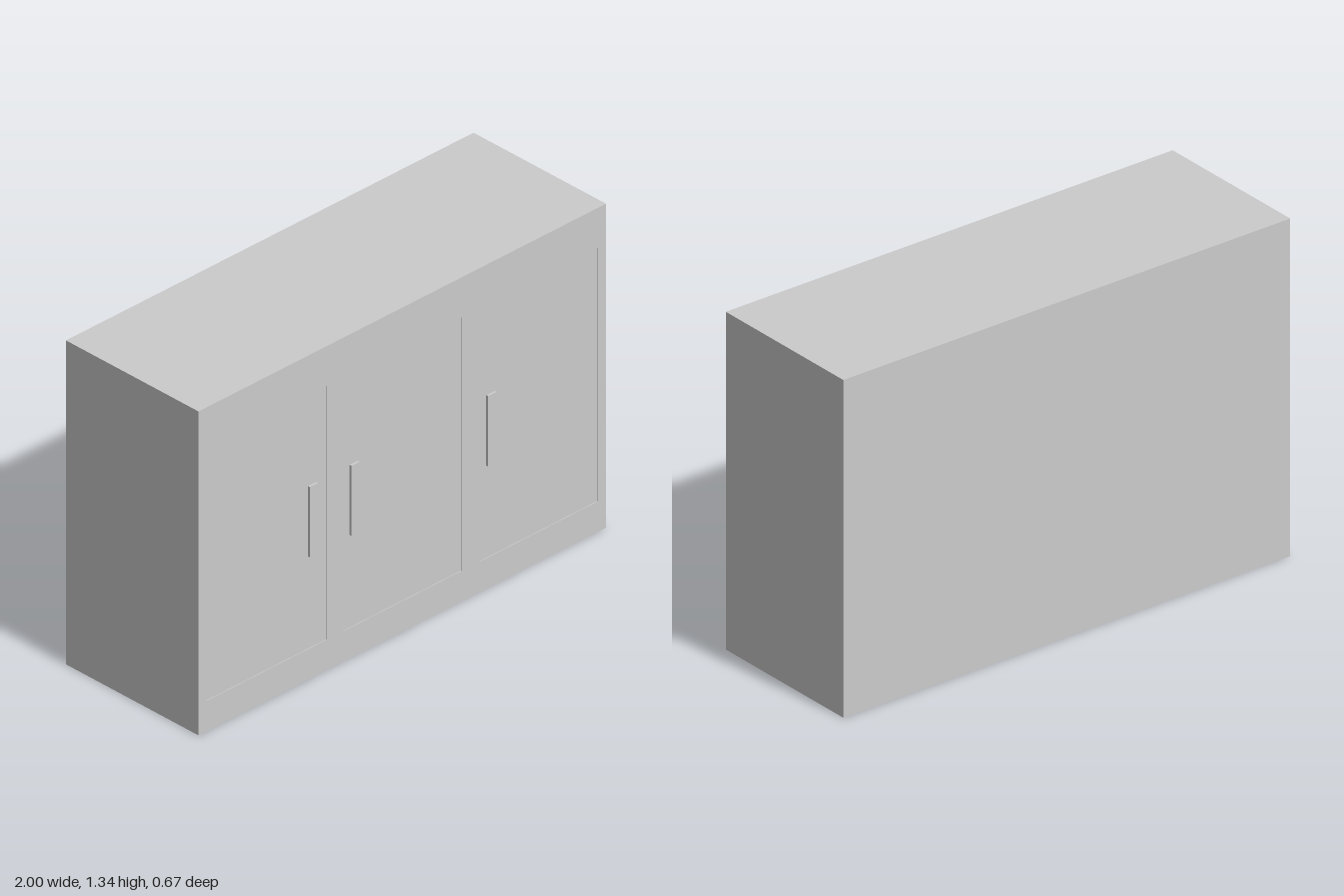
import * as THREE from 'three';

const W = 2, H = 1.335, BACK = -0.337, FRONT = 0.33, RECESS = 0.003;
const DOOR_BOTTOM = 0.125, DOOR_TOP = 1.17;
// Left edge, right edge and handle centre of each door
const DOORS = [
  { x0: -0.96, x1: -0.37, handle: -0.44 },
  { x0: -0.29, x1: 0.29, handle: -0.235 },
  { x0: 0.38, x1: 0.96, handle: 0.435 },
];

function rectangle(target, x0, y0, x1, y1) {
  target.moveTo(x0, y0);
  target.lineTo(x1, y0);
  target.lineTo(x1, y1);
  target.lineTo(x0, y1);
  target.closePath();
  return target;
}

export function createModel() {
  const group = new THREE.Group();
  group.name = 'cabinet';
  const material = new THREE.MeshStandardMaterial({ color: 0xcccccc });

  function add(name, geometry, x, y, z) {
    const mesh = new THREE.Mesh(geometry, material);
    mesh.name = name;
    mesh.position.set(x, y, z);
    group.add(mesh);
  }

  // Carcass with three shallow door openings in the front
  const outline = rectangle(new THREE.Shape(), -W / 2, 0, W / 2, H);
  for (const d of DOORS) {
    outline.holes.push(rectangle(new THREE.Path(), d.x0, DOOR_BOTTOM, d.x1, DOOR_TOP));
  }
  const carcass = new THREE.ExtrudeGeometry(outline, { depth: FRONT - BACK, bevelEnabled: false });
  add('carcass', carcass, 0, 0, BACK);

  // Inset doors, each with a flat upright handle
  const doorDepth = FRONT - RECESS - BACK;
  const handleDepth = 0.007 + RECESS;
  for (const d of DOORS) {
    add('door', new THREE.BoxGeometry(d.x1 - d.x0, DOOR_TOP - DOOR_BOTTOM, doorDepth),
      (d.x0 + d.x1) / 2, (DOOR_TOP + DOOR_BOTTOM) / 2, BACK + doorDepth / 2);
    add('handle', new THREE.BoxGeometry(0.04, 0.29, handleDepth),
      d.handle, 0.65, FRONT - RECESS + handleDepth / 2);
  }
  return group;
}
